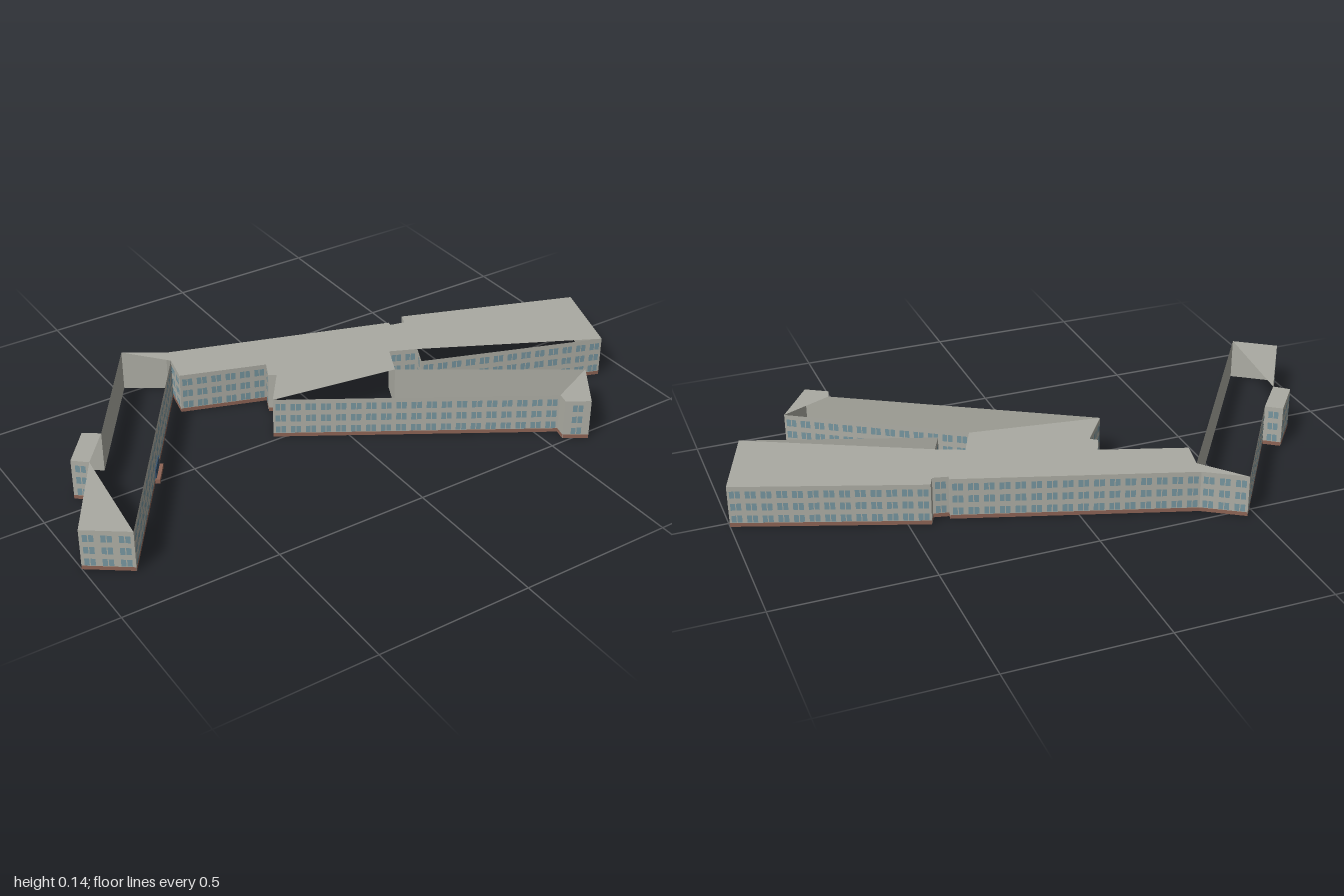
import * as THREE from 'three';
import { mergeGeometries } from 'three/addons/utils/BufferGeometryUtils.js';

const HEIGHT = 0.137;
const PLINTH = 0.013;

// footprint corners (x, z), walked so that the outside lies on the right
const FOOTPRINT = [
  [-0.874, 0.344], [-0.36, -0.4], [-0.381, -0.303], [-0.114, -0.212],    // 0-3 left wing, inner side
  [-0.141, -0.154], [-0.119, -0.138], [-0.205, -0.02], [0.565, 0.446],   // 4-7 front wing, outer side
  [0.555, 0.483], [0.624, 0.526], [0.731, 0.371], [0.218, 0.039],        // 8-11 front wing, end and inner side
  [0.266, -0.063], [0.352, -0.025], [0.319, 0.044], [0.903, 0.253],      // 12-15 courtyard
  [1.0, -0.02], [0.432, -0.228], [0.416, -0.191], [0.368, -0.202],       // 16-19 right end and back notch
  [0.37, -0.218], [-0.35, -0.453], [-0.472, -0.533], [-0.735, -0.143],   // 20-23 long back wall, corner
  [-0.783, -0.178], [-0.874, -0.063], [-0.831, -0.025], [-1.0, 0.253],   // 24-27 bay and left end
];

// roof pieces as footprint corner numbers
const ROOFS = {
  mainRoof: [22, 1, 2, 3, 4, 5, 6, 11, 12, 13, 15, 16, 17, 18, 19, 20, 21],
  bayRoof: [23, 24, 25, 26],
  leftEndRoof: [26, 27, 0],
  frontEndRoof: [7, 8, 9, 10],
};

export function createModel() {
  const group = new THREE.Group();
  const material = (name, color, side = THREE.FrontSide) =>
    Object.assign(new THREE.MeshStandardMaterial({ color, side }), { name });
  const wallMat = material('wall grey', 0xb0b0a7, THREE.DoubleSide);
  const roofMat = material('roof grey', 0xaaaaa2, THREE.DoubleSide);
  const glassMat = material('window blue', 0x7897a1);
  const plinthMat = material('plinth brown', 0x8f6556);
  const doorMat = material('door blue', 0x35506a);

  const add = (parent, name, geometry, mat) => {
    const mesh = new THREE.Mesh(geometry, mat);
    mesh.name = name;
    parent.add(mesh);
    return mesh;
  };
  const panel = (w, h, x, y, z = 0) => new THREE.PlaneGeometry(w, h).translate(x, y, z);

  // one facade: plain wall, plinth band and three rows of paired panes
  const facade = (a, b) => {
    const dx = b[0] - a[0], dz = b[1] - a[1];
    const length = Math.hypot(dx, dz);
    const wall = new THREE.Group();
    wall.name = 'facade';
    wall.position.set(a[0], 0, a[1]);
    wall.rotation.y = Math.atan2(-dz, dx);
    add(wall, 'wall', panel(length, HEIGHT, length / 2, HEIGHT / 2), wallMat);
    add(wall, 'plinth', panel(length, PLINTH, length / 2, PLINTH / 2, 0.001), plinthMat);
    const count = Math.floor(length / 0.046);
    const panes = [];
    for (let i = 0; i < count; i++) {
      const x = (i + 0.5) * length / count;
      for (let floor = 0; floor < 3; floor++) {
        for (const side of [-1, 1]) {
          panes.push(panel(0.0145, 0.024, x + side * 0.0088, 0.027 + floor * 0.0415, 0.0015));
        }
      }
    }
    if (panes.length) add(wall, 'windows', mergeGeometries(panes), glassMat);
    group.add(wall);
    return wall;
  };
  const facades = FOOTPRINT.map((a, i) => facade(a, FOOTPRINT[(i + 1) % FOOTPRINT.length]));

  // flat roof pieces
  for (const [name, corners] of Object.entries(ROOFS)) {
    const shape = new THREE.Shape(corners.map(i => new THREE.Vector2(FOOTPRINT[i][0], -FOOTPRINT[i][1])));
    const geometry = new THREE.ShapeGeometry(shape).rotateX(-Math.PI / 2).translate(0, HEIGHT, 0);
    add(group, name, geometry, roofMat);
  }

  // entrance on the inner side of the left wing
  const entrance = new THREE.Group();
  entrance.name = 'entrance';
  entrance.position.set(0.46, 0, 0);
  add(entrance, 'step', new THREE.BoxGeometry(0.085, 0.014, 0.016).translate(0, 0.007, 0.008), plinthMat);
  add(entrance, 'door', new THREE.BoxGeometry(0.075, 0.032, 0.004).translate(0, 0.03, 0.003), doorMat);
  facades[0].add(entrance);

  return group;
}
